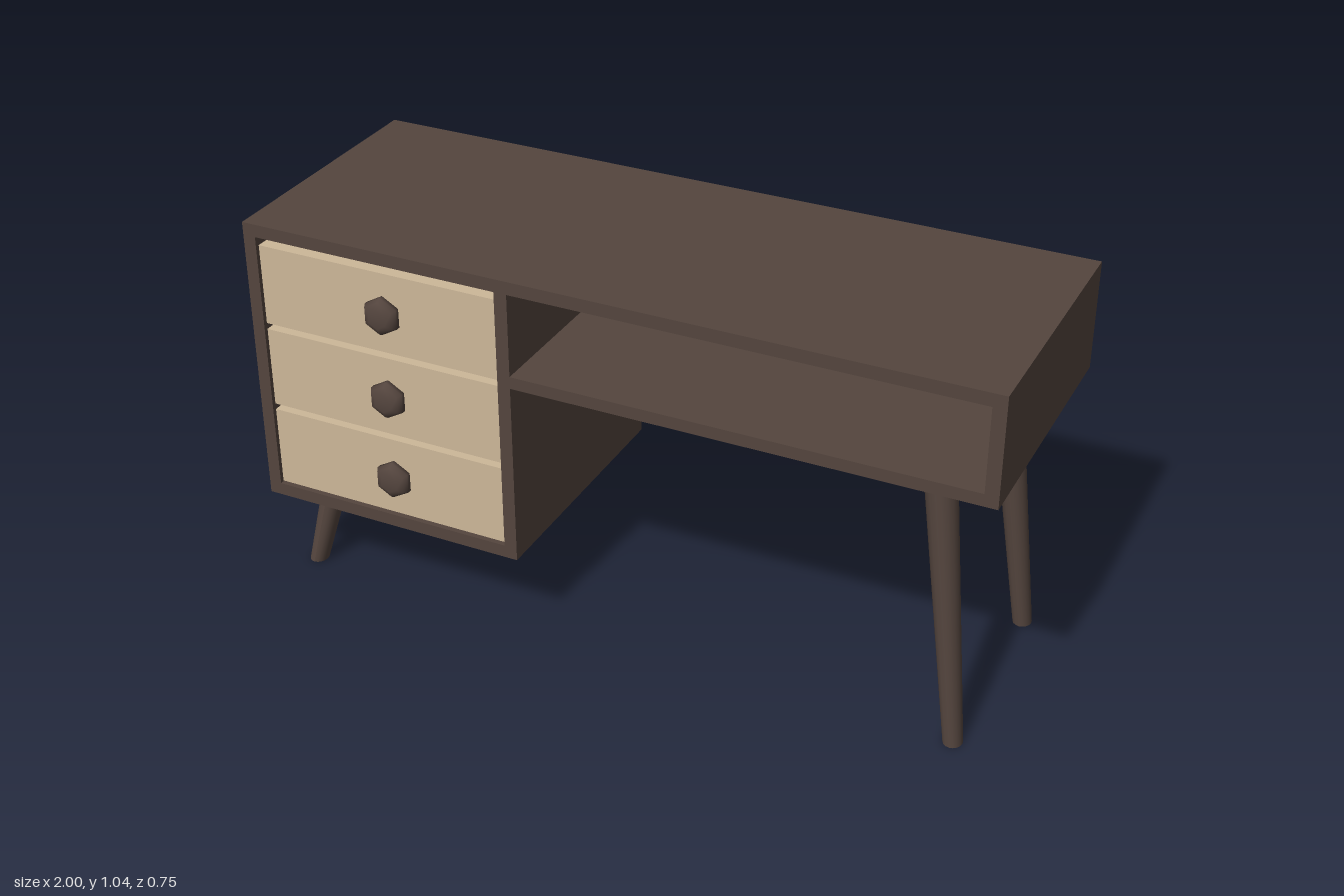
import * as THREE from 'three';

const BACK = -0.376, FRONT = 0.345;

export function createModel() {
  const desk = new THREE.Group();
  desk.name = 'desk';
  const darkWood = new THREE.MeshStandardMaterial({ color: 0x54453e });
  darkWood.name = 'darkWood';
  const paleWood = new THREE.MeshStandardMaterial({ color: 0xcdb899 });
  paleWood.name = 'paleWood';

  const add = (name, geometry, material = darkWood) => {
    const mesh = new THREE.Mesh(geometry, material);
    mesh.name = name;
    desk.add(mesh);
    return mesh;
  };
  // Box given by its limits on each axis
  const box = (name, x0, x1, y0, y1, z0 = BACK, z1 = FRONT, material = darkWood) => {
    const mesh = add(name, new THREE.BoxGeometry(x1 - x0, y1 - y0, z1 - z0), material);
    mesh.position.set((x0 + x1) / 2, (y0 + y1) / 2, (z0 + z1) / 2);
    return mesh;
  };

  // Carcass panels
  box('desktop', -1, 1, 1.005, 1.04);
  box('outerCabinetSide', -1, -0.965, 0.24, 1.005);
  box('innerCabinetSide', -0.28, -0.245, 0.24, 1.005);
  box('cabinetBottom', -0.965, -0.28, 0.24, 0.275);
  box('cabinetBack', -0.965, -0.28, 0.275, 1.005, BACK, BACK + 0.03);
  box('shelfBottom', -0.245, 1, 0.747, 0.78);
  box('shelfSide', 0.965, 1, 0.78, 1.005);
  box('cabinetInterior', -0.965, -0.28, 0.275, 1.005, BACK + 0.03, 0.3);

  // Domed hexagonal knob profile, from its base to its tip
  const knobProfile = [[0.04, 0], [0.052, 0.008], [0.052, 0.02], [0.044, 0.032], [0.026, 0.041], [0, 0.041]]
    .map(([r, h]) => new THREE.Vector2(r, h));
  const knobGeometry = new THREE.LatheGeometry(knobProfile, 6);
  knobGeometry.rotateX(Math.PI / 2);

  // Drawer fronts, slightly recessed, with knobs
  for (let i = 0; i < 3; i++) {
    const y = 0.28 + i * 0.239;
    box('drawerFront', -0.962, -0.283, y, y + 0.222, 0.3, 0.337, paleWood);
    add('drawerKnob', knobGeometry).position.set(-0.6, y + 0.111, 0.335);
  }

  // Tapered splayed leg: a cylinder whose top is shifted over its foot
  const leg = (name, top, foot, height, topRadii, footRadii) => {
    const geometry = new THREE.CylinderGeometry(1, 1, height, 16);
    geometry.translate(0, height / 2, 0);
    const p = geometry.attributes.position;
    for (let i = 0; i < p.count; i++) {
      const t = p.getY(i) / height;
      const mix = (a, b) => a + (b - a) * t;
      p.setX(i, mix(foot[0], top[0]) + p.getX(i) * mix(footRadii[0], topRadii[0]));
      p.setZ(i, mix(foot[1], top[1]) + p.getZ(i) * mix(footRadii[1], topRadii[1]));
    }
    geometry.computeVertexNormals();
    add(name, geometry);
  };
  const middle = (BACK + FRONT) / 2;
  for (const side of [1, -1]) {
    const end = side > 0 ? 'front' : 'back';
    const footZ = middle + side * 0.277, topZ = middle + side * 0.244;
    leg(end + 'LongLeg', [0.823, topZ], [0.918, footZ], 0.75, [0.04, 0.047], [0.025, 0.029]);
    leg(end + 'ShortLeg', [-0.868, topZ], [-0.922, footZ], 0.245, [0.035, 0.04], [0.025, 0.029]);
  }
  return desk;
}
